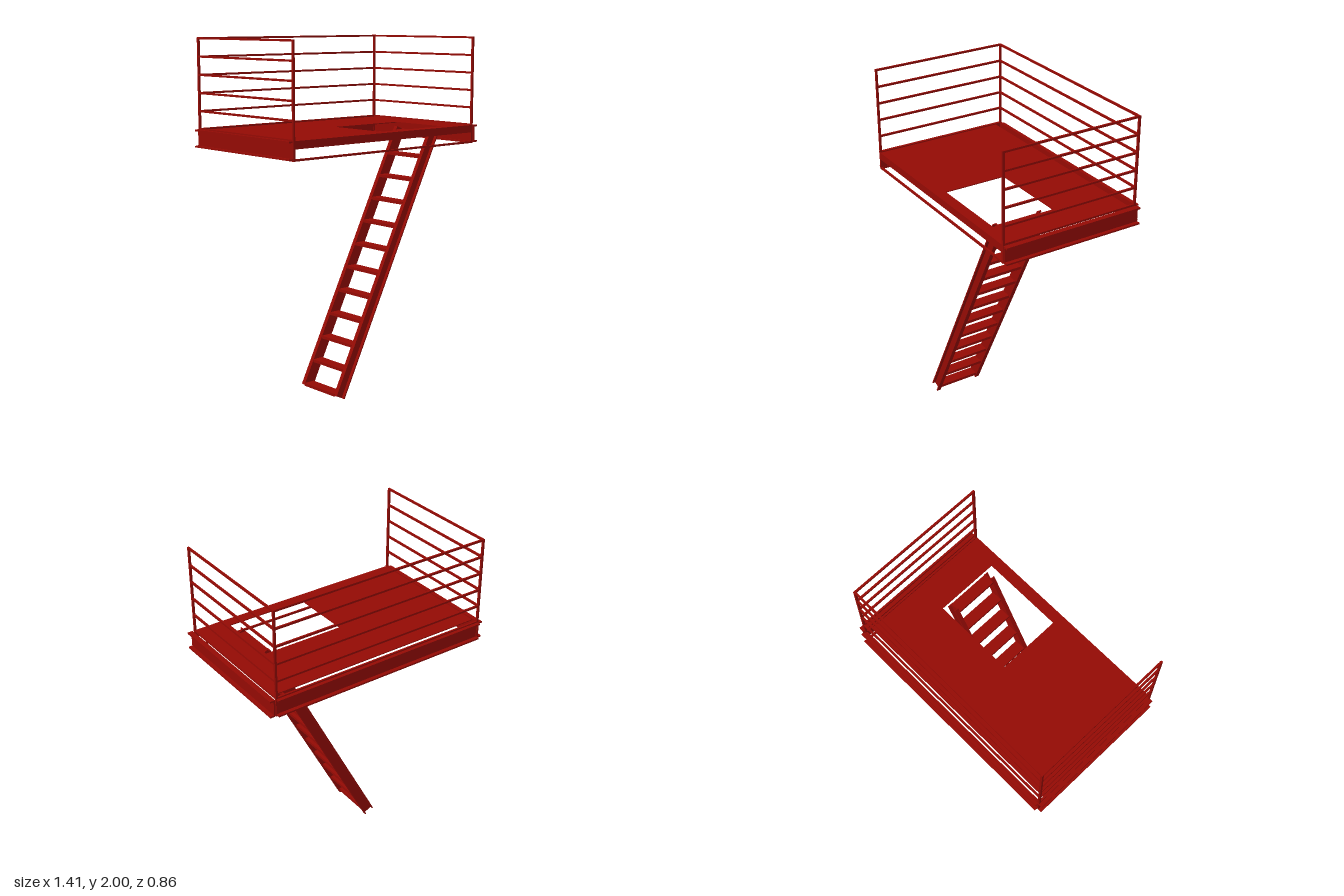
import * as THREE from 'three';

const paint = new THREE.MeshStandardMaterial({ color: 0x930a04 });

function add(parent, name, geometry) {
  const mesh = new THREE.Mesh(geometry, paint);
  mesh.name = name;
  parent.add(mesh);
  return mesh;
}

// Box given by its minimum and maximum corners
function box(parent, name, [x0, y0, z0], [x1, y1, z1]) {
  const mesh = add(parent, name, new THREE.BoxGeometry(x1 - x0, y1 - y0, z1 - z0));
  mesh.position.set((x0 + x1) / 2, (y0 + y1) / 2, (z0 + z1) / 2);
}

// Square bar centred on the line between two points along one axis
function bar(parent, name, a, b, w) {
  const r = w / 2;
  box(parent, name, a.map((v, i) => Math.min(v, b[i]) - r), a.map((v, i) => Math.max(v, b[i]) + r));
}

// C-channel along z: web on x = 0, flanges towards +x
function channelGeometry(height, depth, length, t) {
  const h = height / 2;
  const shape = new THREE.Shape([
    [0, -h], [depth, -h], [depth, -h + t], [t, -h + t],
    [t, h - t], [depth, h - t], [depth, h], [0, h],
  ].map(([x, y]) => new THREE.Vector2(x, y)));
  return new THREE.ExtrudeGeometry(shape, { depth: length, bevelEnabled: false }).translate(0, 0, -length / 2);
}

function createPlatform() {
  const platform = new THREE.Group();
  platform.name = 'platform';

  // Thin deck sheet with the ladder opening (shape y becomes -z)
  const deck = new THREE.Shape();
  deck.moveTo(-0.678, -0.431).lineTo(0.66, -0.431).lineTo(0.66, 0.369).lineTo(-0.678, 0.369).closePath();
  const hatch = new THREE.Path();
  hatch.moveTo(-0.016, -0.367).lineTo(-0.016, 0.008).lineTo(0.471, 0.008).lineTo(0.471, -0.367).closePath();
  deck.holes.push(hatch);
  const sheet = new THREE.ExtrudeGeometry(deck, { depth: 0.005, bevelEnabled: false });
  add(platform, 'deck', sheet.rotateX(-Math.PI / 2).translate(0, 1.484, 0));

  // Lip under the open front edge
  box(platform, 'frontLip', [-0.678, 1.446, 0.424], [0.66, 1.484, 0.431]);

  // Edge channels, open to the outside
  const beams = [
    ['leftBeam', 0.845, 0, 0.673, 0.009],
    ['rightBeam', 0.838, Math.PI, -0.677, 0.004],
    ['backBeam', 1.342, Math.PI / 2, -0.008, -0.4],
  ];
  for (const [name, length, turn, x, z] of beams) {
    const beam = add(platform, name, channelGeometry(0.1, 0.031, length, 0.009));
    beam.rotation.y = turn;
    beam.position.set(x, 1.438, z);
  }
  return platform;
}

function createRailing() {
  const railing = new THREE.Group();
  railing.name = 'railing';
  const left = 0.66, right = -0.68, front = 0.425, back = -0.405;
  for (const x of [left, right]) {
    for (const z of [front, back]) bar(railing, 'post', [x, 1.389, z], [x, 1.994, z], 0.012);
  }
  // Rails on three sides, starting at the foot of the posts
  for (let i = 0; i < 7; i++) {
    const y = 1.389 + i * 0.101;
    bar(railing, 'backRail', [right, y, back], [left, y, back], 0.011);
    for (const x of [left, right]) bar(railing, 'sideRail', [x, y, back], [x, y, front], 0.011);
  }
  // The open front has only the lowest bar
  bar(railing, 'frontLowerBar', [right, 1.389, front], [left, 1.389, front], 0.011);
  return railing;
}

function createLadder() {
  const ladder = new THREE.Group();
  ladder.name = 'ladder';
  const foot = new THREE.Vector3(-0.281, 0.015, 0);
  const top = new THREE.Vector3(0.446, 1.457, 0);
  const run = top.clone().sub(foot);
  const along = run.clone().normalize();
  const across = new THREE.Vector3(along.y, -along.x, 0);
  const middle = foot.clone().add(top).multiplyScalar(0.5);

  // Sloping stringers: channels with their webs on the inside
  for (const [side, z] of [[1, 0.311], [-1, 0.058]]) {
    const geometry = channelGeometry(0.066, 0.025, run.length(), 0.007);
    geometry.applyMatrix4(new THREE.Matrix4().makeBasis(
      new THREE.Vector3(0, 0, side), across.clone().multiplyScalar(side), along));
    add(ladder, 'stringer', geometry).position.set(middle.x, middle.y, z);
  }

  // Level treads
  for (let i = 0; i < 12; i++) {
    const y = 0.031 + i * 0.1285;
    const x = foot.x + (y - foot.y) * run.x / run.y;
    box(ladder, 'tread', [x - 0.037, y - 0.008, 0.055], [x + 0.03, y + 0.008, 0.314]);
  }
  return ladder;
}

export function createModel() {
  const model = new THREE.Group();
  model.name = 'accessPlatform';
  model.add(createPlatform(), createRailing(), createLadder());
  return model;
}
